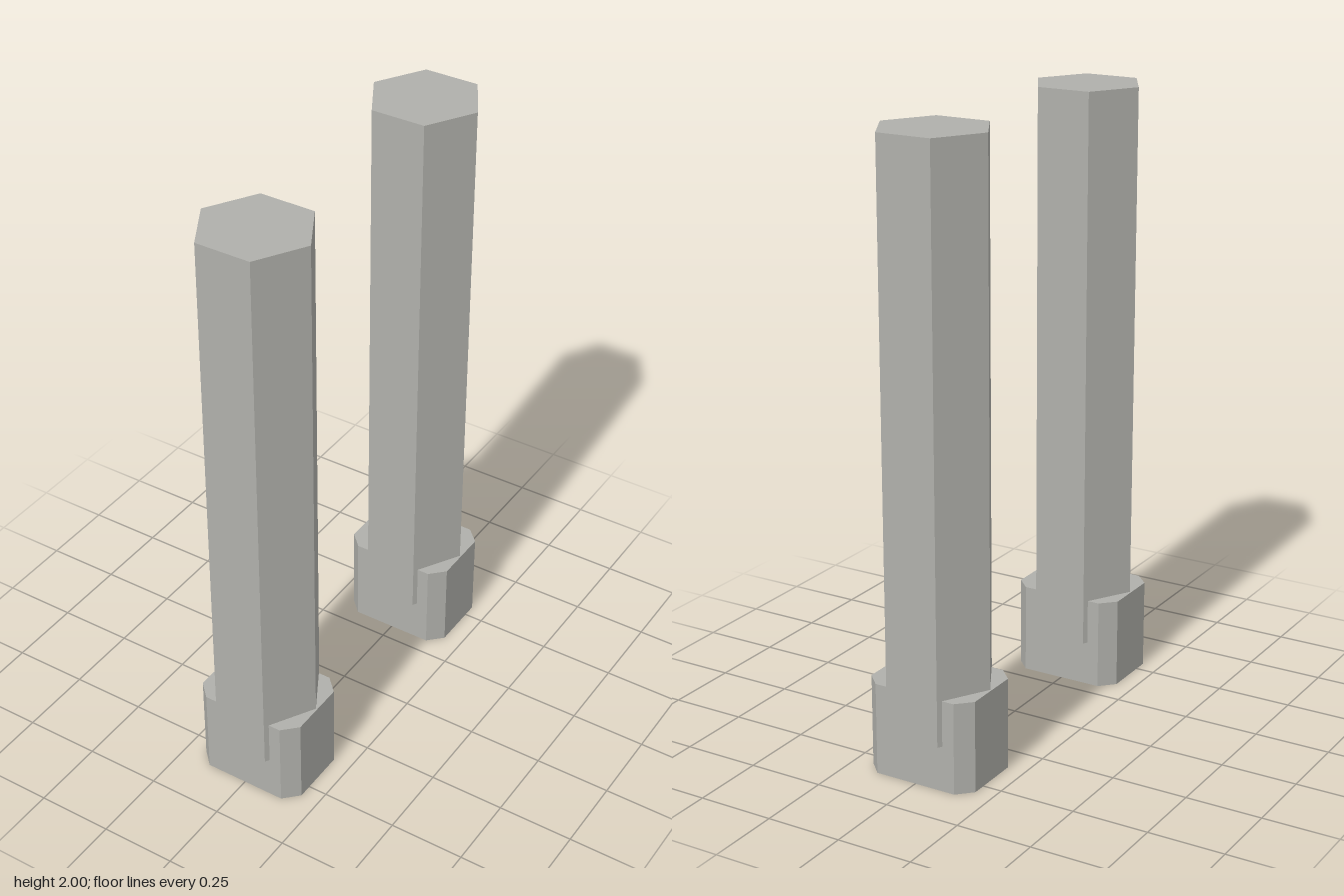
import * as THREE from 'three';

export function createModel() {
  const model = new THREE.Group();
  model.name = 'postPair';

  const stoneGrey = new THREE.MeshStandardMaterial({ color: 0xb0b0ab });
  stoneGrey.name = 'stoneGrey';

  // Hexagonal shaft with corners pointing to the sides, sunk halfway into its foot
  const shaftBottom = 0.15, shaftTop = 2;
  const shaftGeometry = new THREE.CylinderGeometry(0.182, 0.182, shaftTop - shaftBottom, 6, 1, false, Math.PI / 2)
    .toNonIndexed();
  shaftGeometry.computeVertexNormals();
  shaftGeometry.translate(0, (shaftTop + shaftBottom) / 2, 0);

  // Foot block with chamfered vertical corners
  const w = 0.187, d = 0.143, c = 0.047;
  const outline = new THREE.Shape([
    [w, -d + c], [w, d - c], [w - c, d], [-w + c, d],
    [-w, d - c], [-w, -d + c], [-w + c, -d], [w - c, -d],
  ].map(([x, y]) => new THREE.Vector2(x, y)));
  const footGeometry = new THREE.ExtrudeGeometry(outline, { depth: 0.3, bevelEnabled: false });
  footGeometry.rotateX(-Math.PI / 2);

  // One post at the front and one at the back
  for (const [name, z] of [['frontPost', 0.45], ['backPost', -0.45]]) {
    const post = new THREE.Group();
    post.name = name;
    const shaft = new THREE.Mesh(shaftGeometry, stoneGrey);
    shaft.name = 'shaft';
    const foot = new THREE.Mesh(footGeometry, stoneGrey);
    foot.name = 'foot';
    post.add(shaft, foot);
    post.position.z = z;
    model.add(post);
  }
  return model;
}
